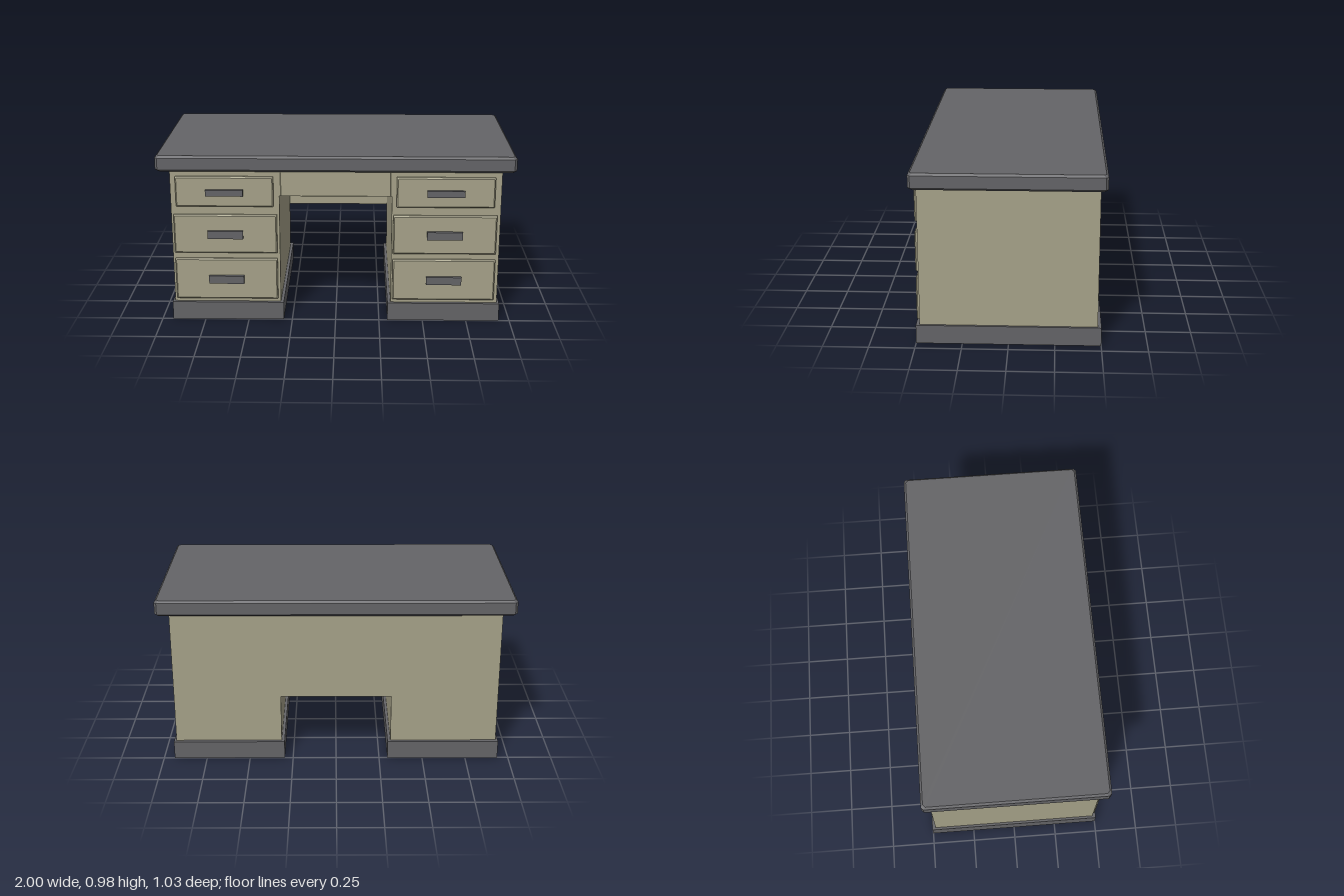
import * as THREE from 'three';

const olive = new THREE.MeshStandardMaterial({ color: 0xa6a289, side: THREE.DoubleSide });
const dark = new THREE.MeshStandardMaterial({ color: 0x646467, side: THREE.DoubleSide });

// Solid or open-backed panel lofted through chamfered rectangles [w, h, corner, z]
function loft(rings, closedBack = false) {
  const pos = [];
  const loops = rings.map(([w, h, c, z]) => {
    const a = w / 2, b = h / 2;
    return [[a, -b + c], [a, b - c], [a - c, b], [-a + c, b], [-a, b - c], [-a, -b + c], [-a + c, -b], [a - c, -b]]
      .map(([x, y]) => [x, y, z]);
  });
  const tri = (...p) => p.forEach((v) => pos.push(...v));
  for (let r = 0; r + 1 < loops.length; r++) {
    for (let i = 0; i < 8; i++) {
      const j = (i + 1) % 8, A = loops[r], B = loops[r + 1];
      tri(A[i], A[j], B[j]);
      tri(A[i], B[j], B[i]);
    }
  }
  const front = loops[loops.length - 1], back = loops[0];
  for (let i = 1; i < 7; i++) {
    tri(front[0], front[i], front[i + 1]);
    if (closedBack) tri(back[0], back[i + 1], back[i]);
  }
  const g = new THREE.BufferGeometry();
  g.setAttribute('position', new THREE.Float32BufferAttribute(pos, 3));
  g.computeVertexNormals();
  return g;
}

function add(parent, name, geometry, material, x = 0, y = 0, z = 0) {
  const m = new THREE.Mesh(geometry, material);
  m.name = name;
  m.position.set(x, y, z);
  parent.add(m);
  return m;
}

const rect = (Type, x0, x1, y0, y1) => new Type([[x0, y0], [x1, y0], [x1, y1], [x0, y1]].map((p) => new THREE.Vector2(...p)));

// Body: outer and inner half widths, height range, half depth, kneehole heights
const OUT = 0.925, IN = 0.315, Y0 = 0.08, Y1 = 0.9, D = 0.48, KNEE = 0.74, BACK = 0.385;

// Upside-down U panel
function archPanel(kneeHeight) {
  return new THREE.Shape([[-OUT, Y0], [-IN, Y0], [-IN, kneeHeight], [IN, kneeHeight], [IN, Y0], [OUT, Y0], [OUT, Y1], [-OUT, Y1]]
    .map((p) => new THREE.Vector2(...p)));
}

// y range, width, handle width and height
const drawers = [
  { name: 'top', y0: 0.68, y1: 0.855, w: 0.548, hw: 0.21, hh: 0.036 },
  { name: 'middle', y0: 0.404, y1: 0.632, w: 0.582, hw: 0.2, hh: 0.046 },
  { name: 'bottom', y0: 0.125, y1: 0.37, w: 0.582, hw: 0.2, hh: 0.046 },
];

export function createModel() {
  const desk = new THREE.Group();
  desk.name = 'desk';

  // Table top with chamfered edges
  const top = add(desk, 'tableTop', loft([
    [1.976, 1.006, 0.014, 0], [2, 1.03, 0.014, 0.012], [2, 1.03, 0.014, 0.078], [1.976, 1.006, 0.014, 0.09],
  ], true), dark, 0, 0.888, 0);
  top.rotation.x = -Math.PI / 2;

  // Front frame, open behind each drawer
  const frame = archPanel(KNEE);
  for (const side of [-1, 1]) {
    const cx = side < 0 ? -0.621 : 0.615;
    for (const d of drawers) frame.holes.push(rect(THREE.Path, cx - d.w / 2, cx + d.w / 2, d.y0, d.y1));
  }
  add(desk, 'frontFrame', new THREE.ShapeGeometry(frame), olive, 0, 0, D);

  // Back panel with a lower kneehole opening
  const back = add(desk, 'backPanel', new THREE.ShapeGeometry(archPanel(BACK)), olive, 0, 0, -D);
  back.rotation.y = Math.PI;

  // Kneehole ceiling and centre panel
  const ceiling = add(desk, 'kneeholeCeiling', new THREE.PlaneGeometry(2 * IN, 2 * D), olive, 0, KNEE, 0);
  ceiling.rotation.x = Math.PI / 2;
  add(desk, 'centrePanel', loft([[0.616, 0.145, 0, 0], [0.616, 0.145, 0, 0.003], [0.61, 0.139, 0, 0.006]]), olive, 0, 0.8135, D);

  for (const side of [-1, 1]) {
    const pedestal = new THREE.Group();
    pedestal.name = side < 0 ? 'rightPedestal' : 'leftPedestal';
    desk.add(pedestal);

    // Outer and inner walls
    const wall = (name, x, y1, dir) => {
      const m = add(pedestal, name, new THREE.PlaneGeometry(2 * D, y1 - Y0), olive, x, (Y0 + y1) / 2, 0);
      m.rotation.y = dir * Math.PI / 2;
    };
    wall('outerWall', side * OUT, Y1, side);
    wall('innerWall', side * IN, KNEE, -side);

    // Plinth ring, open underneath
    const ring = rect(THREE.Shape, -0.32, 0.32, -0.5, 0.5);
    ring.holes.push(rect(THREE.Path, -0.26, 0.26, -0.44, 0.44));
    const plinth = add(pedestal, 'plinth', new THREE.ExtrudeGeometry(ring, { depth: 0.105, bevelEnabled: false }), dark, side * 0.618, 0, 0);
    plinth.rotation.x = -Math.PI / 2;

    // Drawer fronts and handles
    const cx = side < 0 ? -0.621 : 0.615;
    for (const d of drawers) {
      const h = d.y1 - d.y0, cy = (d.y0 + d.y1) / 2;
      add(pedestal, d.name + 'Drawer', loft([
        [d.w, h, 0.003, 0], [d.w, h, 0.003, 0.01], [d.w - 0.014, h - 0.014, 0.003, 0.017],
      ]), olive, cx, cy, D);
      add(pedestal, d.name + 'Handle', new THREE.BoxGeometry(d.hw, d.hh, 0.035), dark, cx, cy - (d.name === 'top' ? 0.003 : 0), 0.498);
    }
  }
  return desk;
}
